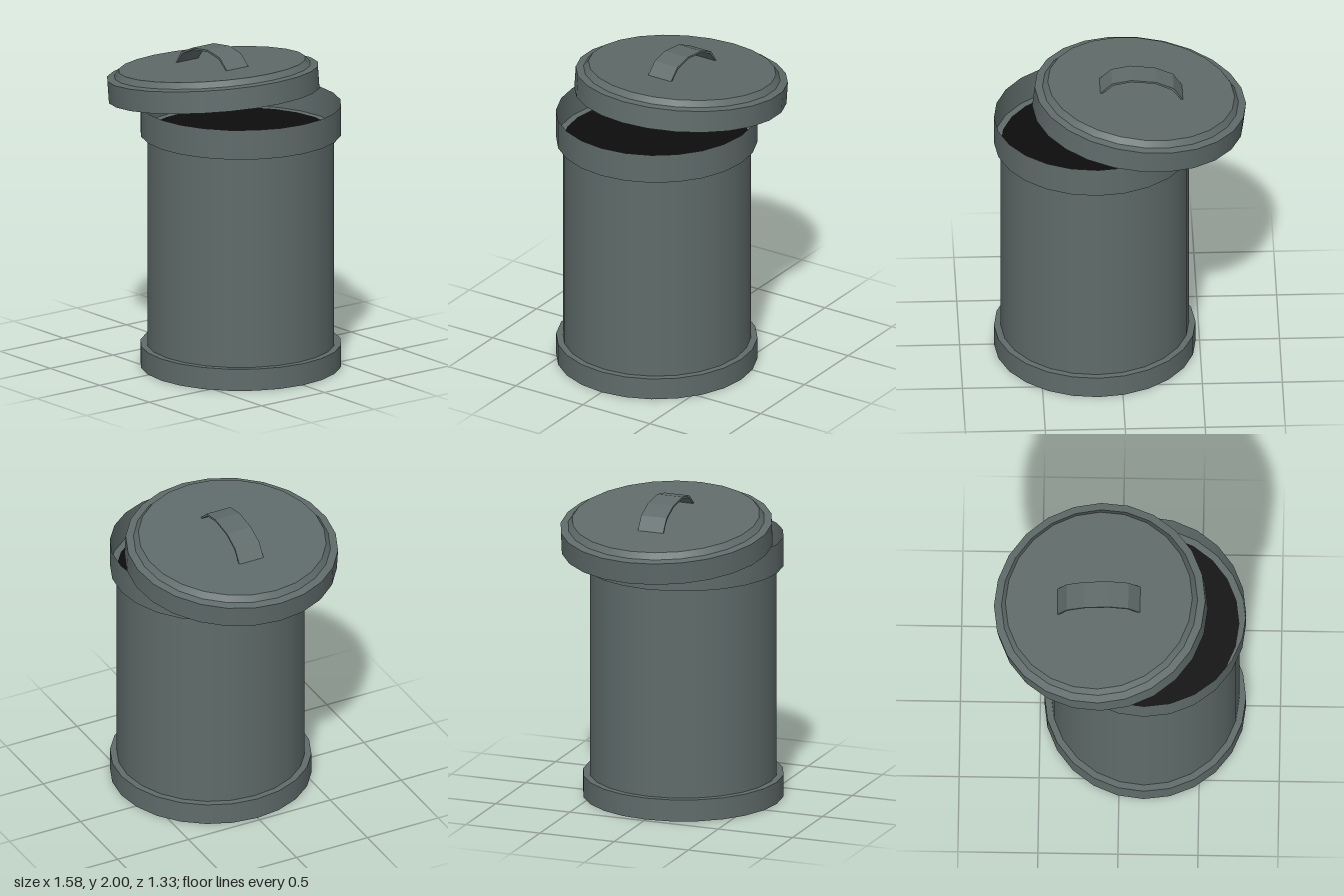
import * as THREE from 'three';

const SIDES = 24;

export function createModel() {
  const metal = new THREE.MeshStandardMaterial({ color: 0x5f6b6a, side: THREE.DoubleSide });
  metal.name = 'grey metal';
  const dark = new THREE.MeshStandardMaterial({ color: 0x0d0d0d, side: THREE.DoubleSide });
  dark.name = 'dark inside';

  const add = (parent, name, geometry, material = metal) => {
    const mesh = new THREE.Mesh(geometry, material);
    mesh.name = name;
    parent.add(mesh);
    return mesh;
  };
  // Thin open band of sheet metal between two heights
  const band = (parent, name, y0, r0, y1, r1) => {
    const g = new THREE.CylinderGeometry(r1, r0, y1 - y0, SIDES, 1, true);
    g.rotateY(Math.PI / 2);
    return add(parent, name, g.translate(0, (y0 + y1) / 2, 0));
  };
  // Flat horizontal disc
  const disc = (parent, name, y, r, material) =>
    add(parent, name, new THREE.CircleGeometry(r, SIDES).rotateX(-Math.PI / 2).translate(0, y, 0), material);
  // Flat step between two radii
  const ledge = (parent, name, y, rIn, rOut) =>
    add(parent, name, new THREE.RingGeometry(rIn, rOut, SIDES).rotateX(-Math.PI / 2).translate(0, y, 0));

  const model = new THREE.Group();
  model.name = 'trashCan';

  // Can: open at the bottom, wider bands at both ends
  const can = new THREE.Group();
  can.name = 'can';
  can.position.x = 0.155;
  model.add(can);
  band(can, 'baseBand', 0, 0.63, 0.14, 0.63);
  ledge(can, 'baseLedge', 0.14, 0.588, 0.63);
  band(can, 'body', 0.14, 0.588, 1.5, 0.588);
  ledge(can, 'rimLedge', 1.5, 0.588, 0.63);
  band(can, 'rimBand', 1.5, 0.63, 1.69, 0.63);
  disc(can, 'darkInside', 1.5, 0.588, dark);

  // Lid: tilted and pushed aside, hollow underneath
  const lid = new THREE.Group();
  lid.name = 'lid';
  lid.position.set(-0.13, 1.835, 0);
  lid.rotation.z = 0.113;
  model.add(lid);
  band(lid, 'lidSkirt', -0.14, 0.665, 0, 0.665);
  band(lid, 'lidShoulder', 0, 0.665, 0.008, 0.617);
  band(lid, 'lidBevel', 0.008, 0.617, 0.045, 0.588);
  disc(lid, 'lidTop', 0.045, 0.588);

  // Handle: thin arched strap
  const outer = [[-0.26, 0.045], [-0.194, 0.121], [-0.078, 0.157], [0.078, 0.157], [0.194, 0.121], [0.26, 0.045]];
  const inner = outer.map(([x, y]) => [x * 0.95, y === 0.045 ? y : y - 0.012]).reverse();
  const strap = new THREE.Shape([...outer, ...inner].map(([x, y]) => new THREE.Vector2(x, y)));
  add(lid, 'handle', new THREE.ExtrudeGeometry(strap, { depth: 0.17, bevelEnabled: false }).translate(0, 0, -0.085));

  return model;
}
